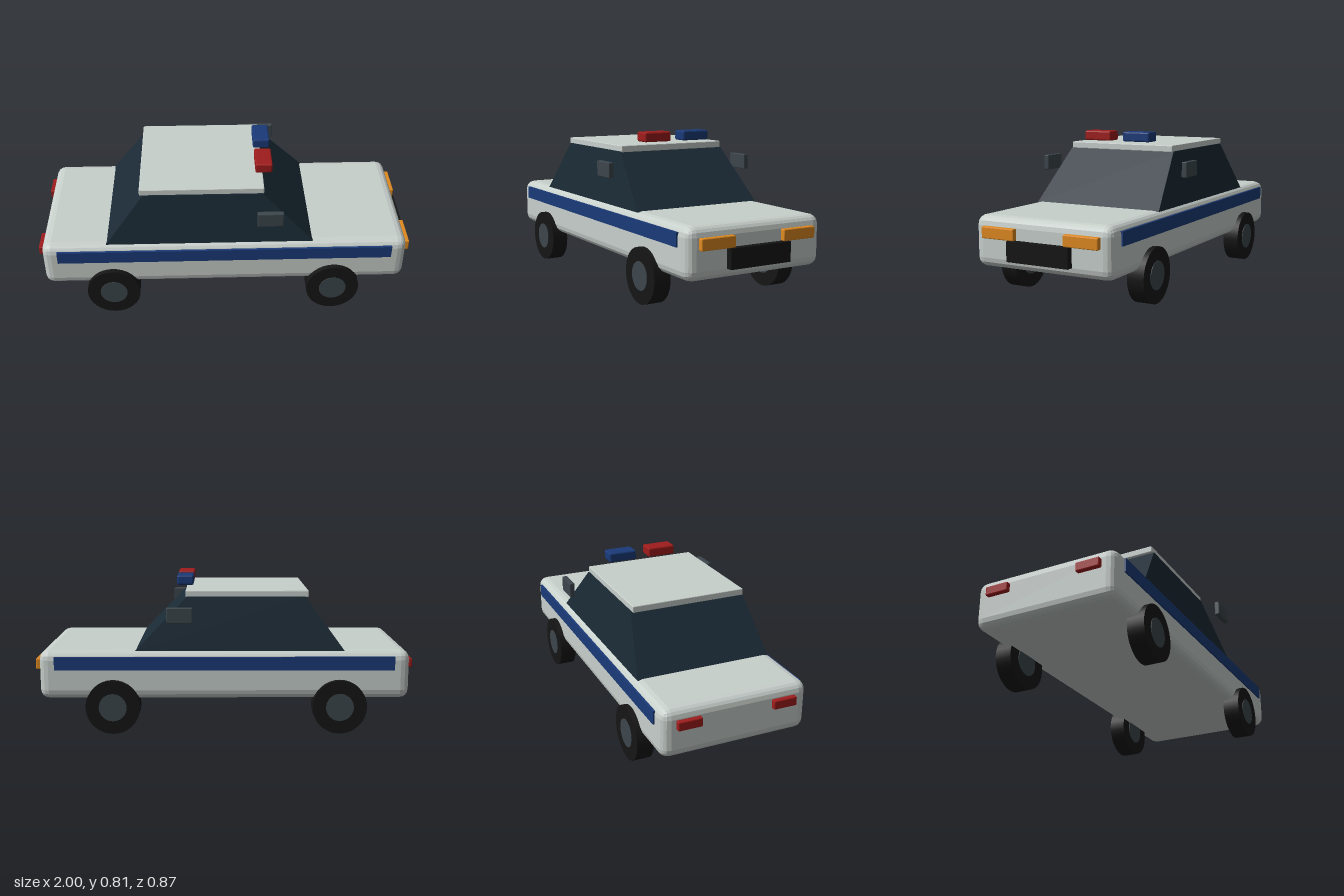
import * as THREE from 'three';
import { RoundedBoxGeometry } from 'three/addons/geometries/RoundedBoxGeometry.js';

const paint = (color) => new THREE.MeshStandardMaterial({ color, flatShading: true });

export function createModel() {
  const car = new THREE.Group();
  car.name = 'patrolCar';

  const white = paint(0xc8d0cc);
  const glass = paint(0x1a2a35);
  const blue = paint(0x1a3a78);
  const red = paint(0xa01c1c);
  const amber = paint(0xe08a20);
  const black = paint(0x151515);
  const steel = paint(0x3c464c);
  const tyreMaterial = new THREE.MeshStandardMaterial({ color: 0x151515 });
  const hubMaterial = new THREE.MeshStandardMaterial({ color: 0x3c464c });

  // Box given by its limits on each axis, with slightly bevelled edges
  function block(name, material, [x0, x1], [y0, y1], [z0, z1], bevel = 0.005, segments = 1) {
    const size = [x1 - x0, y1 - y0, z1 - z0];
    const geometry = bevel > 0
      ? new RoundedBoxGeometry(...size, segments, bevel)
      : new THREE.BoxGeometry(...size);
    const mesh = new THREE.Mesh(geometry, material);
    mesh.name = name;
    mesh.position.set((x0 + x1) / 2, (y0 + y1) / 2, (z0 + z1) / 2);
    car.add(mesh);
    return mesh;
  }

  // Lower body
  block('body', white, [-0.978, 0.963], [0.178, 0.437], [-0.389, 0.389], 0.05, 2);

  // Glasshouse: a box narrowed towards the roof
  const cabinGeometry = new THREE.BoxGeometry(1, 1, 1);
  const p = cabinGeometry.attributes.position;
  for (let i = 0; i < p.count; i++) {
    const top = p.getY(i) > 0;
    const front = p.getX(i) > 0;
    const x = top ? (front ? 0.19 : -0.43) : (front ? 0.46 : -0.635);
    p.setXYZ(i, x, top ? 0.712 : 0.433, Math.sign(p.getZ(i)) * (top ? 0.313 : 0.364));
  }
  cabinGeometry.computeVertexNormals();
  const cabin = new THREE.Mesh(cabinGeometry, glass);
  cabin.name = 'cabinGlass';
  car.add(cabin);

  block('roof', white, [-0.448, 0.197], [0.708, 0.743], [-0.308, 0.308], 0.004);
  block('grille', black, [0.94, 0.998], [0.228, 0.328], [-0.173, 0.173], 0);

  // Parts mirrored on both sides
  for (const [side, s] of [['left', -1], ['right', 1]]) {
    const z = (a, b) => (s > 0 ? [a, b] : [-b, -a]);
    block(side + 'Stripe', blue, [-0.895, 0.88], [0.336, 0.406], z(0.375, 0.397), 0);
    block(side + 'Headlight', amber, [0.93, 0.988], [0.328, 0.386], z(0.139, 0.327));
    block(side + 'TailLight', red, [-1.002, -0.95], [0.335, 0.382], z(0.19, 0.315));
    block(side + 'Mirror', steel, [0.157, 0.291], [0.59, 0.67], z(0.407, 0.435), 0.004);
    block(side + 'Beacon', s > 0 ? red : blue, [0.157, 0.246], [0.759, 0.811], z(0.038, 0.196), 0.008);

    // Wheels, the hub showing on both faces of the tyre
    for (const [end, x] of [['Front', 0.577], ['Rear', -0.61]]) {
      const wheel = new THREE.Group();
      wheel.name = side + end + 'Wheel';
      const tyre = new THREE.Mesh(new THREE.CylinderGeometry(0.142, 0.142, 0.09, 32), tyreMaterial);
      tyre.name = 'tyre';
      const hub = new THREE.Mesh(new THREE.CylinderGeometry(0.073, 0.073, 0.096, 24), hubMaterial);
      hub.name = 'hub';
      wheel.add(tyre, hub);
      wheel.rotation.x = Math.PI / 2;
      wheel.position.set(x, 0.142, s * 0.372);
      car.add(wheel);
    }
  }

  return car;
}
